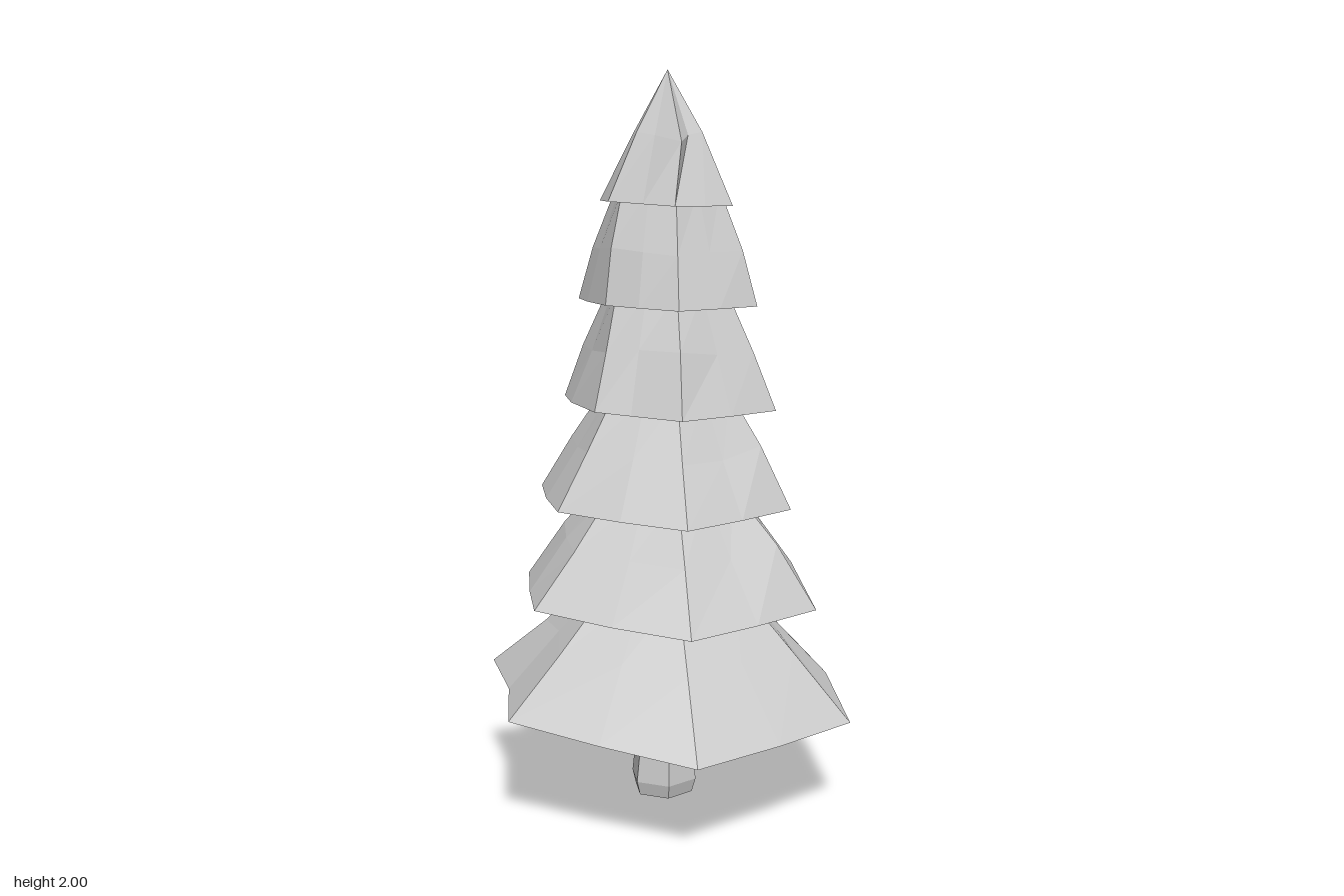
import * as THREE from 'three';

const material = new THREE.MeshStandardMaterial({ color: 0xcccccc, flatShading: true });

// Seeded jitter in the range -1..1
let seed = 7;
const jitter = () => {
  seed = (seed * 16807) % 2147483647;
  return (seed / 2147483647) * 2 - 1;
};

// Corners run back, back-left, front-left, front, front-right, back-right
const EVEN = [1, 1, 1, 1, 1, 1];
const DROOP = [1, -1, -0.8, 0.7, 0.7, -1.1]; // which rim corners lift or sag
const RAGGED = [1.06, 1.02, 1.02, 0.95, 0.89, 1.02]; // edge middles of the lowest rim
const FULL = [1.03, 1.02, 1.03, 1.03, 1.03, 1.03]; // edge middles of the other rims

// Rim height, corner radii, sag, neck radius and roundness of each tier;
// nudge shifts single rim points by [index, x, z]
const TIERS = [
  { y: 0.3, radii: [0.53, 0.54, 0.55, 0.52, 0.535, 0.565], sag: 0.03, neck: 0.2, bulge: 0.99,
    nudge: [[0, -0.02, 0], [1, -0.06, -0.03], [11, 0.04, -0.01]] },
  { y: 0.588, radii: [0.45, 0.44, 0.455, 0.42, 0.415, 0.46], sag: 0.014, neck: 0.19, bulge: 1,
    nudge: [[0, 0.04, 0], [6, -0.02, 0]] },
  { y: 0.852, radii: [0.385, 0.365, 0.395, 0.355, 0.37, 0.385], sag: 0.008, neck: 0.18, bulge: 1,
    nudge: [[0, -0.03, 0], [10, 0.06, -0.08], [11, 0.03, -0.03]] },
  { y: 1.115, radii: [0.34, 0.32, 0.31, 0.27, 0.295, 0.33], sag: 0.006, neck: 0.17, bulge: 1.02,
    nudge: [[6, 0.05, 0], [10, 0.025, -0.035]] },
  { y: 1.388, radii: [0.26, 0.265, 0.255, 0.21, 0.25, 0.265], sag: 0.004, neck: 0.15, bulge: 1.04,
    nudge: [[0, 0.02, 0], [6, 0.02, 0]] },
  { y: 1.652, radii: [0.19, 0.195, 0.19, 0.17, 0.185, 0.195], sag: 0.007, neck: 0, bulge: 1.08,
    nudge: [[0, -0.02, 0], [6, -0.02, 0]] },
];

// Hexagon with a corner to the back; each corner has its own radius
function hexagon(radii, y, cx = 0, cz = 0) {
  return radii.map((r, i) => {
    const a = (i * Math.PI) / 3;
    return new THREE.Vector3(cx + r * Math.sin(a), y, cz - r * Math.cos(a));
  });
}

const regular = (r, y, cx, cz) => hexagon(EVEN.map((e) => e * r), y, cx, cz);

// Insert the middle of each hexagon edge, pulled outwards or inwards
function subdivide(corners, pull) {
  return corners.flatMap((p, i) => {
    const m = p.clone().lerp(corners[(i + 1) % corners.length], 0.5);
    return [p, m.set(m.x * pull[i], m.y, m.z * pull[i])];
  });
}

// Skin a stack of rings; collapsed triangles are skipped
function loft(name, rings) {
  const positions = [];
  const tri = (a, b, c) => {
    const area = b.clone().sub(a).cross(c.clone().sub(a)).length();
    if (area > 1e-9) [a, b, c].forEach((p) => positions.push(p.x, p.y, p.z));
  };
  for (let i = 0; i < rings.length - 1; i++) {
    const lower = rings[i], upper = rings[i + 1], n = lower.length;
    for (let j = 0; j < n; j++) {
      const k = (j + 1) % n;
      tri(lower[j], upper[j], lower[k]);
      tri(lower[k], upper[j], upper[k]);
    }
  }
  const geometry = new THREE.BufferGeometry();
  geometry.setAttribute('position', new THREE.Float32BufferAttribute(positions, 3));
  geometry.computeVertexNormals();
  const mesh = new THREE.Mesh(geometry, material);
  mesh.name = name;
  return mesh;
}

export function createModel() {
  seed = 7;
  const group = new THREE.Group();
  group.name = 'pineTree';

  // Trunk, slightly flared at the foot
  const trunkRings = [[0, 0], [0.085, 0.006], [0.096, 0.045], [0.083, 0.18], [0.083, 0.4]]
    .map(([r, y]) => regular(r, y, 0, -0.02 * y));
  group.add(loft('trunk', trunkRings));

  // Branch tiers: underside, rim, rounded slope, neck tucked under the next tier
  let base = subdivide(regular(0.06, 0.36), EVEN);
  TIERS.forEach(({ y, radii, sag, neck, bulge, nudge }, t) => {
    const last = t === TIERS.length - 1;
    const corners = hexagon(radii, y);
    corners.forEach((p, i) => { p.y += sag * DROOP[i]; });
    const rim = subdivide(corners, t === 0 ? RAGGED : FULL);
    nudge.forEach(([i, dx, dz]) => {
      rim[i].x += dx;
      rim[i].z += dz;
    });
    const topY = last ? 2 : TIERS[t + 1].y + 0.035;
    const crown = subdivide(last ? regular(0, topY, -0.02, -0.03) : regular(neck, topY, -0.01, -0.02), EVEN);
    const slope = rim.map((p, i) => {
      const m = p.clone().lerp(crown[i], 0.5);
      const k = bulge + 0.03 * jitter();
      return m.set(m.x * k, m.y + 0.015 * jitter(), m.z * k);
    });
    // Shoulder knob near the tip
    if (last) slope[4].set(0.13, 1.81, 0.045);
    group.add(loft('branchTier' + (t + 1), [base, rim, slope, crown]));
    base = crown;
  });
  return group;
}
